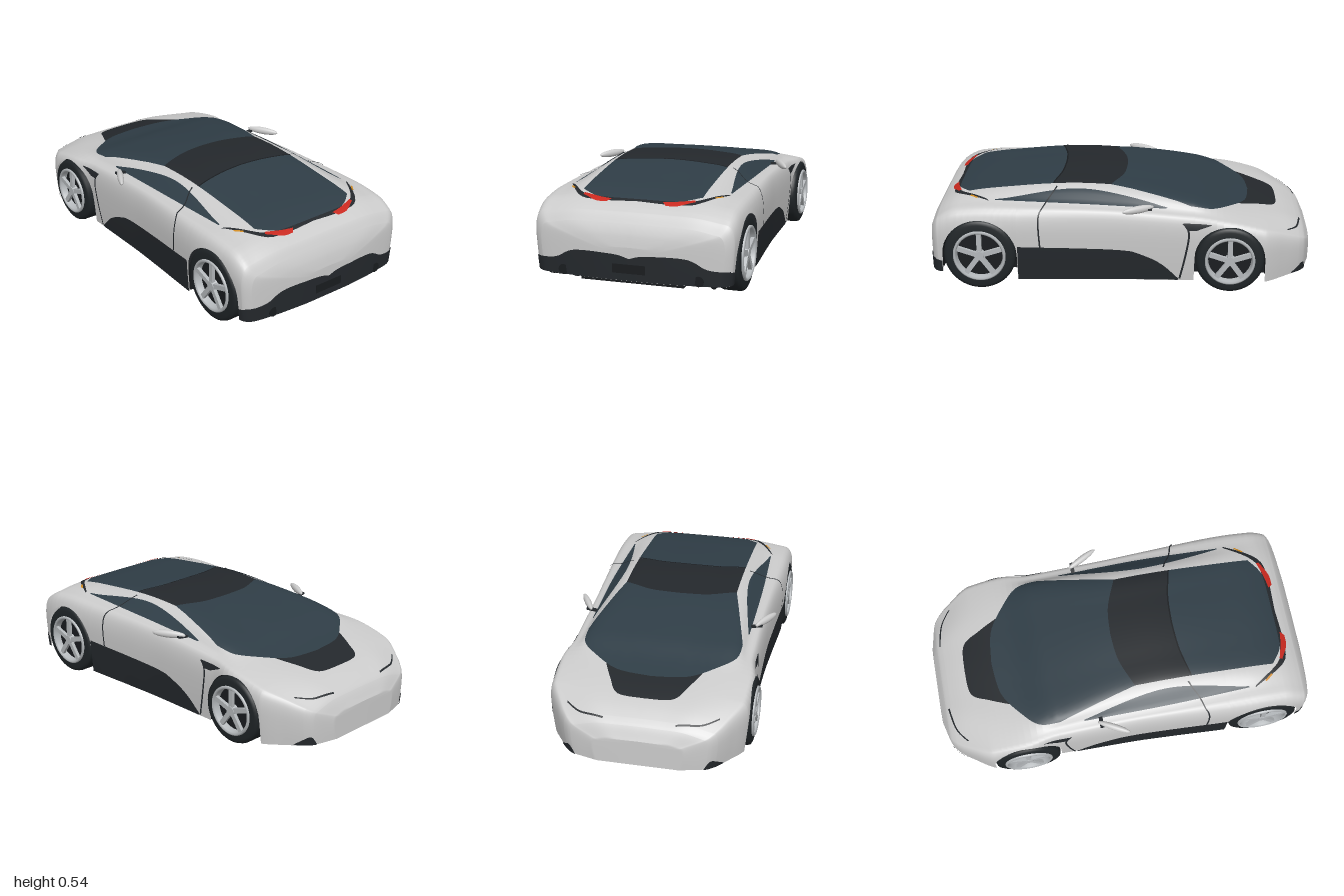
import * as THREE from 'three';

const mat = (color) => new THREE.MeshStandardMaterial({ color, side: THREE.DoubleSide });
const PAINT = mat(0xcccccc), GLASS = mat(0x2f3d46), DARK = mat(0x24282c), BLACK = mat(0x191c1f);
const TYRE = mat(0x1f2427), RIM = mat(0xb4b8bb), RED = mat(0xc8281e), AMBER = mat(0xd08a20);

// Wheels: z centre, hub height, tyre radius, arch radius
const WHEELS = [
  { name: 'front', z: -0.572, y: 0.18, r: 0.176, arch: 0.181 },
  { name: 'rear', z: 0.717, y: 0.187, r: 0.187, arch: 0.193 },
];

// Body stations, nose to tail: z, half width, belt x, belt y, roof edge x, centre y
const KEYS = [
  [-1, 0.22, 0.19, 0.195, 0.14, 0.21],
  [-0.96, 0.355, 0.32, 0.25, 0.22, 0.28],
  [-0.86, 0.44, 0.39, 0.305, 0.26, 0.337],
  [-0.74, 0.505, 0.44, 0.35, 0.3, 0.37],
  [-0.57, 0.512, 0.45, 0.387, 0.33, 0.405],
  [-0.4, 0.485, 0.43, 0.408, 0.37, 0.455],
  [0, 0.487, 0.42, 0.438, 0.325, 0.518],
  [0.2, 0.495, 0.42, 0.446, 0.318, 0.528],
  [0.65, 0.515, 0.41, 0.452, 0.32, 0.488],
  [0.83, 0.512, 0.41, 0.438, 0.3, 0.457],
  [0.93, 0.502, 0.42, 0.39, 0.3, 0.41],
  [0.965, 0.465, 0.4, 0.34, 0.3, 0.36],
  [0.99, 0.3, 0.27, 0.285, 0.2, 0.3],
  [1, 0.15, 0.13, 0.24, 0.1, 0.25],
];

// Smooth interpolation of one key column without overshoot
function rail(col, z) {
  let i = 0;
  while (i < KEYS.length - 2 && z > KEYS[i + 1][0]) i++;
  const slope = (k) => (KEYS[k + 1][col] - KEYS[k][col]) / (KEYS[k + 1][0] - KEYS[k][0]);
  const tangent = (k) => {
    if (k === 0) return slope(0);
    if (k === KEYS.length - 1) return slope(k - 1);
    const a = slope(k - 1), b = slope(k);
    return a * b <= 0 ? 0 : (2 * a * b) / (a + b);
  };
  const h = KEYS[i + 1][0] - KEYS[i][0], t = (z - KEYS[i][0]) / h, t2 = t * t, t3 = t2 * t;
  return (2 * t3 - 3 * t2 + 1) * KEYS[i][col] + (t3 - 2 * t2 + t) * h * tangent(i)
    + (3 * t2 - 2 * t3) * KEYS[i + 1][col] + (t3 - t2) * h * tangent(i + 1);
}

// Half cross-section from the sill to the centre line, trimmed at the wheel arch
function section(z) {
  const [w, dx, dy, ex, top] = [1, 2, 3, 4, 5].map((c) => rail(c, z));
  const { smoothstep, lerp } = THREE.MathUtils;
  const base = 0.05 + 0.035 * smoothstep(z, 0.45, 0.9) + 0.02 * smoothstep(-z, 0.6, 1);
  const wide = lerp(base, dy, 0.74), nearTop = lerp(dy, top, 0.95);
  const curve = new THREE.SplineCurve([
    [w - 0.015, base], [w - 0.004, (base + wide) / 2], [w, wide], [lerp(dx, w, 0.73), lerp(wide, dy, 0.8)],
    [dx, dy], [ex, lerp(dy, top, 0.82)], [ex / 2, nearTop], [0, top], [-ex / 2, nearTop],
  ].map((p) => new THREE.Vector2(...p)));
  const pts = [];
  for (let j = 0; j <= 28; j++) pts.push(curve.getPoint(j / 32));
  pts[28].x = 0;
  for (const { z: wz, y, arch } of WHEELS) {
    if (Math.abs(z - wz) > arch + 1e-6) continue;
    const cut = y + Math.sqrt(Math.max(0, arch * arch - (z - wz) ** 2));
    const k = pts.findIndex((p) => p.y >= cut);
    const edge = pts[k - 1].clone().lerp(pts[k], (cut - pts[k - 1].y) / (pts[k].y - pts[k - 1].y));
    pts.fill(edge, 0, k);
  }
  return pts;
}

function makeGeometry(pos, index, normal) {
  const g = new THREE.BufferGeometry();
  g.setAttribute('position', new THREE.Float32BufferAttribute(pos, 3));
  g.setIndex(index);
  if (normal) g.setAttribute('normal', new THREE.Float32BufferAttribute(normal, 3));
  else g.computeVertexNormals();
  return g;
}

// Left half of the body shell, lofted through the sections, closer rows at both ends
function bodyHalf() {
  const zs = [];
  for (let i = 0; i <= 60; i++) zs.push(-1 + i / 30);
  for (let i = 1; i < 12; i++) zs.push(0.93 + i * 0.006, -0.93 - i * 0.006);
  for (const { z, arch } of WHEELS) {
    for (let k = 0; k <= 16; k++) zs.push(z + arch * Math.cos((k * Math.PI) / 16));
    zs.push(z - arch - 0.002, z + arch + 0.002);
  }
  zs.sort((a, b) => a - b);
  const pos = [], index = [], n = 29, rows = zs.map((z) => section(z).map((p) => [p.x, p.y, z]));
  // Flat end faces reach straight in to the centre line
  const cap = (row) => row.map((p) => [0, p[1], p[2]]);
  rows.unshift(cap(rows[0]));
  rows.push(cap(rows[rows.length - 1]));
  rows.forEach((row, i) => row.forEach((p, j) => {
    pos.push(...p);
    if (i && j) {
      const d = i * n + j, c = d - 1, b = d - n, a = b - 1;
      index.push(a, b, c, b, d, c);
    }
  }));
  const g = makeGeometry(pos, index), nor = g.attributes.normal;
  // Level the normals on the centre line so the halves join smoothly
  for (let k = 0; k < nor.count; k++) {
    if (pos[k * 3] !== 0) continue;
    const v = new THREE.Vector3(0, nor.getY(k), nor.getZ(k)).normalize();
    nor.setXYZ(k, v.x, v.y, v.z);
  }
  return g;
}

// Panel between two edge curves, projected onto the body along one axis
const VIEWS = {
  top: { dir: [0, -1, 0], at: (u, v) => [u, 2, v] }, // edges in x, z
  side: { dir: [-1, 0, 0], at: (u, v) => [2, v, u] }, // edges in z, y
  tail: { dir: [0, 0, -1], at: (u, v) => [u, v, 2] }, // edges in x, y
  nose: { dir: [0, 0, 1], at: (u, v) => [u, v, -2] }, // edges in x, y
};
function panel(body, view, edgeA, edgeB, nu, nv, lift) {
  const [ca, cb] = [edgeA, edgeB].map((e) => new THREE.SplineCurve(e.map((p) => new THREE.Vector2(...p))));
  const ray = new THREE.Raycaster(), dir = new THREE.Vector3(...VIEWS[view].dir);
  const pos = [], nor = [], index = [], ok = [];
  for (let i = 0; i <= nu; i++) for (let j = 0; j <= nv; j++) {
    const p = ca.getPointAt(i / nu).lerp(cb.getPointAt(i / nu), j / nv);
    const start = new THREE.Vector3(...VIEWS[view].at(p.x, p.y)), onCentre = start.x < 0.0005;
    if (onCentre) start.x = 0.0005;
    ray.set(start, dir);
    const hit = ray.intersectObject(body)[0];
    ok.push(!!hit);
    const m = hit ? hit.normal : new THREE.Vector3(0, 1, 0);
    const q = hit ? hit.point.addScaledVector(m, lift) : start;
    pos.push(onCentre ? 0 : q.x, q.y, q.z);
    nor.push(m.x, m.y, m.z);
  }
  const vec = (arr, k) => new THREE.Vector3().fromArray(arr, k * 3);
  const tri = (a, b, c) => {
    if (!(ok[a] && ok[b] && ok[c])) return;
    const f = vec(pos, b).sub(vec(pos, a)).cross(vec(pos, c).sub(vec(pos, a)));
    index.push(...(f.dot(vec(nor, a)) > 0 ? [a, b, c] : [a, c, b]));
  };
  for (let i = 0; i < nu; i++) for (let j = 0; j < nv; j++) {
    const a = i * (nv + 1) + j, b = a + nv + 1;
    tri(a, b, a + 1);
    tri(b, b + 1, a + 1);
  }
  return makeGeometry(pos, index, nor);
}

const shift = (edge, du, dv) => edge.map(([u, v]) => [u + du, v + dv]);

// Glass, trim, lights and seams on the left half
function addPanels(body, add) {
  const fit = (name, m, view, a, b, nu, nv, lift = 0.004) => add(name, panel(body, view, a, b, nu, nv, lift), m);
  const roofFront = [[0, -0.03], [0.15, -0.015], [0.305, 0.045]], roofRear = [[0, 0.3], [0.15, 0.31], [0.305, 0.345]];
  fit('windscreen', GLASS, 'top', [[0, -0.68], [0.18, -0.655], [0.315, -0.565], [0.395, -0.48], [0.405, -0.37]], roofFront, 20, 20);
  fit('roofPanel', DARK, 'top', roofFront, roofRear, 20, 12);
  fit('rearWindow', GLASS, 'top', roofRear, [[0, 0.858], [0.2, 0.854], [0.305, 0.79]], 20, 18);
  fit('roofSeam', BLACK, 'top', shift(roofRear, 0, -0.004), shift(roofRear, 0, 0.004), 16, 1, 0.006);
  fit('bonnetPanel', DARK, 'top', [[0, -0.83], [0.14, -0.815], [0.2, -0.72], [0.245, -0.625]], [[0, -0.675], [0.18, -0.65], [0.25, -0.61]], 18, 10, 0.003);
  fit('sideWindow', GLASS, 'top', [[0.42, -0.24], [0.422, 0.2], [0.408, 0.64]], [[0.415, -0.25], [0.346, 0.2], [0.402, 0.64]], 26, 6);
  fit('tailBand', DARK, 'top', [[0, 0.856], [0.2, 0.852], [0.3, 0.82], [0.4, 0.68]], [[0, 0.872], [0.2, 0.878], [0.31, 0.845], [0.415, 0.67]], 20, 3);
  fit('tailLight', RED, 'top', [[0.13, 0.868], [0.2, 0.856], [0.28, 0.832]], [[0.15, 0.89], [0.21, 0.886], [0.285, 0.846]], 10, 3, 0.007);
  fit('indicator', AMBER, 'top', [[0.355, 0.768], [0.385, 0.73]], [[0.362, 0.776], [0.392, 0.735]], 4, 2, 0.007);
  const slit = [[0.18, -0.95], [0.3, -0.925], [0.38, -0.872]];
  fit('headlightSlit', DARK, 'top', slit, shift(slit, 0, 0.008), 14, 1);
  fit('sillPanel', DARK, 'side', [[0.52, 0.24], [0, 0.222], [-0.12, 0.195], [-0.22, 0.145], [-0.31, 0.06]], [[0.52, 0.053], [-0.305, 0.053]], 24, 6);
  fit('fenderVent', DARK, 'side', [[-0.33, 0.372], [-0.48, 0.368]], [[-0.36, 0.335], [-0.4, 0.335]], 6, 4);
  const frontSeam = [[-0.325, 0.37], [-0.355, 0.32], [-0.34, 0.2], [-0.31, 0.06]];
  const rearSeam = [[0.32, 0.505], [0.37, 0.45], [0.405, 0.4], [0.4, 0.24]];
  fit('frontDoorSeam', DARK, 'side', frontSeam, shift(frontSeam, -0.01, 0), 16, 1);
  fit('rearDoorSeam', DARK, 'side', rearSeam, shift(rearSeam, 0.008, 0), 18, 1, 0.006);
  fit('rearBumper', DARK, 'tail', [[0, 0.195], [0.08, 0.214], [0.28, 0.215], [0.38, 0.17], [0.485, 0.16]], [[0, 0.087], [0.478, 0.087]], 24, 6);
  fit('rearBumperSide', DARK, 'side', [[0.966, 0.16], [0.913, 0.15]], [[0.962, 0.087], [0.913, 0.087]], 4, 4);
  fit('frontBumperFin', DARK, 'nose', [[0.325, 0.08], [0.355, 0.118], [0.4, 0.08]], [[0.32, 0.071], [0.405, 0.071]], 10, 3);
}

function wheel({ r, name }) {
  const g = new THREE.Group(), rim = r * 0.72;
  g.name = name + 'Wheel';
  const add = (part, geo, m, y = 0) => {
    const mesh = new THREE.Mesh(geo, m);
    mesh.name = part;
    mesh.position.y = y;
    g.add(mesh);
    return mesh;
  };
  const lathe = (pts) => new THREE.LatheGeometry(pts.map((p) => new THREE.Vector2(...p)), 48);
  add('tyre', lathe([[rim, -0.06], [r - 0.02, -0.06], [r - 0.005, -0.053], [r, -0.04], [r, 0.04], [r - 0.005, 0.053], [r - 0.02, 0.06], [rim - 0.005, 0.06]]), TYRE);
  add('rimRing', lathe([[rim - 0.016, 0.03], [rim - 0.014, 0.064], [rim - 0.006, 0.072], [rim + 0.002, 0.066], [rim + 0.002, 0.055]]), RIM);
  add('brakeDisc', new THREE.CylinderGeometry(rim, rim, 0.06, 40), BLACK);
  add('hub', new THREE.CylinderGeometry(0.024, 0.029, 0.03, 20), RIM, 0.052);
  for (let k = 0; k < 5; k++) {
    const a = Math.PI * (0.5 + k * 0.4);
    const spoke = add('spoke', new THREE.BoxGeometry(rim - 0.015, 0.018, 0.025), RIM);
    spoke.position.set((Math.cos(a) * rim) / 2, 0.055, (-Math.sin(a) * rim) / 2);
    spoke.rotation.y = a;
  }
  // Axle along x with one spoke pointing up
  g.rotation.set(Math.PI / 2, 0, -Math.PI / 2);
  return g;
}

// Flat floor slab from a half outline in x, z
function slab(half, yLow, yHigh) {
  const pts = [...half, ...half.map(([x, z]) => [-x, z]).reverse()].map((p) => new THREE.Vector2(...p));
  const g = new THREE.ExtrudeGeometry(new THREE.Shape(pts), { depth: yHigh - yLow, bevelEnabled: false });
  return g.rotateX(Math.PI / 2).translate(0, yHigh, 0);
}

export function createModel() {
  const car = new THREE.Group(), left = new THREE.Group();
  car.name = 'sportsCar';
  left.name = 'leftSide';
  const addTo = (group) => (name, geo, m, x = 0, y = 0, z = 0) => {
    const mesh = new THREE.Mesh(geo, m);
    mesh.name = name;
    mesh.position.set(x, y, z);
    group.add(mesh);
    return mesh;
  };
  const add = addTo(car), addLeft = addTo(left);
  addPanels(addLeft('bodyShell', bodyHalf(), PAINT), addLeft);

  // Wheels and wheel wells
  for (const w of WHEELS) {
    const g = wheel(w);
    g.position.set(0.452, w.y, w.z);
    left.add(g);
    const well = addLeft('wheelWell', new THREE.CylinderGeometry(w.arch, w.arch, 0.12, 32, 1, true, 0, Math.PI), BLACK, 0.415, w.y, w.z);
    well.rotation.z = Math.PI / 2;
    addLeft('wheelWellWall', new THREE.CircleGeometry(w.arch, 32), BLACK, 0.358, w.y, w.z).rotation.y = Math.PI / 2;
  }

  // Door mirror on a short arm, exhaust
  const mirror = addLeft('doorMirror', new THREE.SphereGeometry(1, 20, 14), PAINT, 0.488, 0.447, -0.1);
  mirror.scale.set(0.017, 0.02, 0.09);
  mirror.rotation.y = 0.5;
  addLeft('mirrorArm', new THREE.BoxGeometry(0.06, 0.01, 0.02), DARK, 0.448, 0.437, -0.16).rotation.z = 0.15;
  addLeft('exhaust', new THREE.CylinderGeometry(0.026, 0.03, 0.05, 16), BLACK, 0.34, 0.11, 0.965).rotation.x = Math.PI / 2;

  const right = left.clone();
  right.name = 'rightSide';
  right.scale.x = -1;
  car.add(left, right);

  // Underbody and plate recess
  add('floor', slab([[0.3, -0.93], [0.4, -0.84], [0.4, -0.77], [0.36, -0.76], [0.36, -0.385], [0.46, -0.38], [0.485, 0.51], [0.36, 0.52], [0.34, 0.58]], 0.05, 0.2), BLACK);
  add('rearFloor', slab([[0.36, 0.56], [0.36, 0.915], [0.46, 0.92], [0.45, 0.945]], 0.09, 0.24), BLACK);
  add('diffuser', new THREE.BoxGeometry(0.52, 0.035, 0.12), BLACK, 0, 0.078, 0.9);
  add('plateHolder', new THREE.BoxGeometry(0.165, 0.045, 0.02), BLACK, 0, 0.145, 0.996);
  return car;
}
